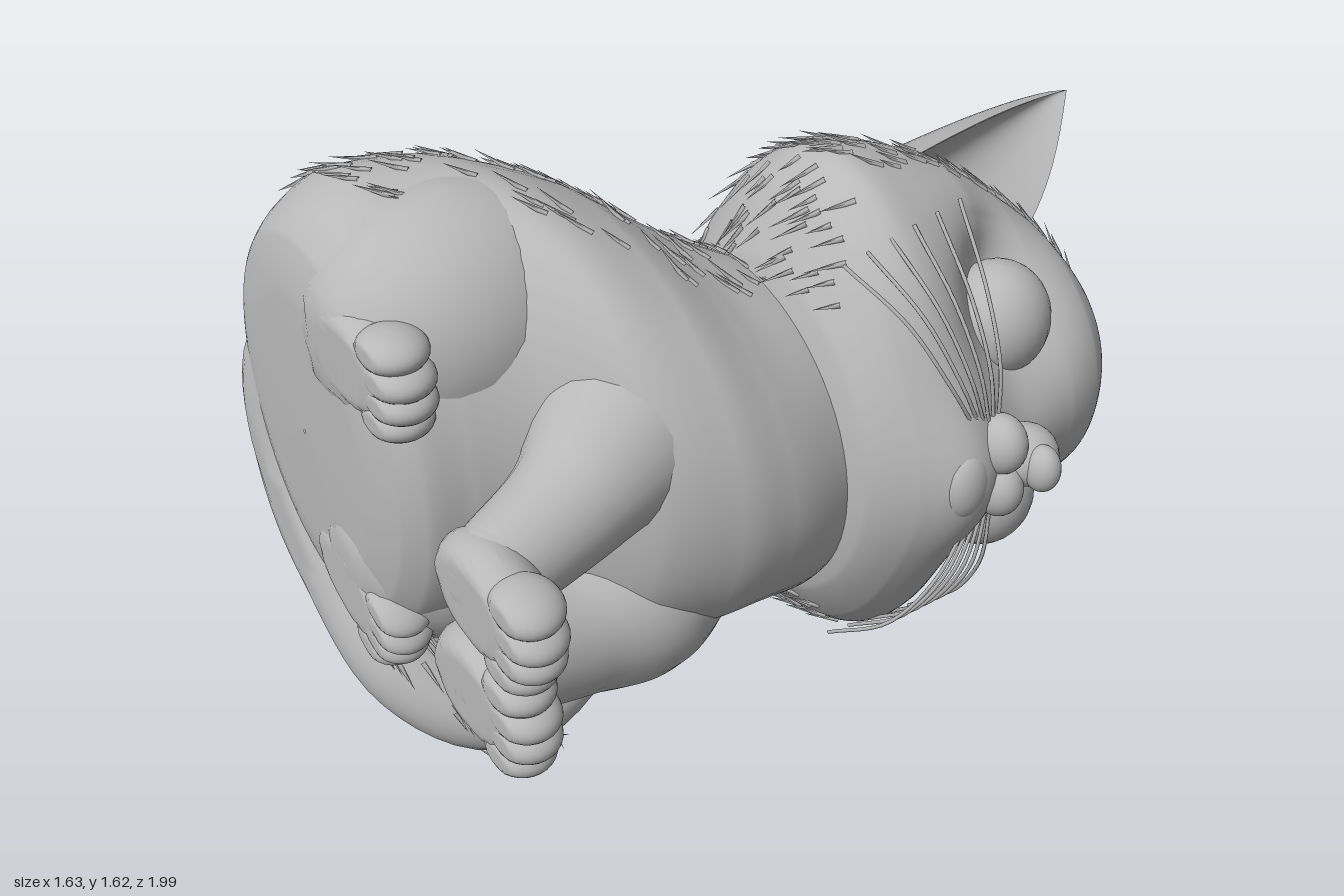
import * as THREE from 'three';
import { mergeGeometries } from 'three/addons/utils/BufferGeometryUtils.js';
import { ParametricGeometry } from 'three/addons/geometries/ParametricGeometry.js';

// The kitten lies on its side: its head points to -z, its face to +x, its soles to +z.
const FLOOR = 0.985, MID = 0.915;
const V = (x, y, z) => new THREE.Vector3(x, y, z);

let seed = 7;
const rnd = () => (seed = (seed * 16807) % 2147483647) / 2147483647;

// Smooth surface through elliptical rings [z, cx, cy, rx, ry]
function ringSurface(rings, warp) {
  const mid = new THREE.CatmullRomCurve3(rings.map(r => V(r[1], r[2], r[0])));
  const rad = new THREE.CatmullRomCurve3(rings.map(r => V(r[3], r[4], 0)));
  return (u, v, p) => {
    const c = mid.getPoint(v), r = rad.getPoint(v), a = u * Math.PI * 2;
    p.set(c.x + r.x * Math.cos(a), c.y + r.y * Math.sin(a), Math.min(c.z, FLOOR));
    if (warp) warp(p);
  };
}

// Tapered surface along a smooth path
function limbSurface(points, radii) {
  const curve = new THREE.CatmullRomCurve3(points.map(p => V(...p)));
  const rad = new THREE.CatmullRomCurve3(radii.map((r, i) => V(r, i, 0)));
  const frames = curve.computeFrenetFrames(200);
  return (u, v, p) => {
    const k = Math.min(200, Math.round(v * 200)), a = u * Math.PI * 2, r = rad.getPoint(v).x;
    p.copy(curve.getPointAt(v)).addScaledVector(frames.normals[k], r * Math.cos(a))
      .addScaledVector(frames.binormals[k], r * Math.sin(a));
    p.z = Math.min(p.z, FLOOR);
  };
}

// Ellipsoid, flattened where it would pass through the sole plane
function ball(c, r, turn = 0) {
  const g = new THREE.SphereGeometry(1, 28, 20).scale(...r).rotateZ(turn).translate(...c);
  const p = g.attributes.position;
  for (let i = 0; i < p.count; i++) p.setZ(i, Math.min(p.getZ(i), FLOOR));
  g.computeVertexNormals();
  return g;
}

// Limb with rounded ends
function limb(points, radii) {
  const cap = i => ball(points.at(i), Array(3).fill(radii.at(i)));
  return mergeGeometries([new ParametricGeometry(limbSurface(points, radii), 24, 40), cap(0), cap(-1)]);
}

// Paw with four toes, heading given as an angle in the sole plane
function paw(x, y, angle, len, wid) {
  const at = (f, s, z) => [x + f * Math.cos(angle) - s * Math.sin(angle), y + f * Math.sin(angle) + s * Math.cos(angle), z];
  const parts = [ball([x, y, 0.92], [len, wid, 0.1], angle)];
  [-1.5, -0.5, 0.5, 1.5].forEach(k => {
    const f = len * 0.72 - Math.abs(k) * 0.022 + 0.02;
    parts.push(ball(at(f, k * wid * 0.47, 0.92), [0.085, wid * 0.38, 0.078], angle));
  });
  return mergeGeometries(parts);
}

// Fine fur locks lying along a surface
function fur(surface, count, flow, keep) {
  const locks = [], a = V(), b = V(), c = V(), up = V(0, 1, 0);
  for (let i = 0; i < count * 8 && locks.length < count; i++) {
    const u = rnd() * 0.98, v = 0.04 + rnd() * 0.9;
    surface(u, v, a); surface(u + 0.005, v, b); surface(u, v + 0.005, c);
    const n = b.sub(a).cross(c.sub(a)).normalize();
    if (!keep(a, n)) continue;
    const d = flow.clone().addScaledVector(n, -flow.dot(n)).normalize();
    d.addScaledVector(n, 0.08 + rnd() * 0.17).normalize();
    const h = 0.06 + rnd() * 0.05;
    const g = new THREE.ConeGeometry(0.008, h, 4, 1, true).translate(0, h * 0.4, 0);
    g.applyQuaternion(new THREE.Quaternion().setFromUnitVectors(up, d));
    locks.push(g.translate(a.x, a.y, a.z));
  }
  return mergeGeometries(locks);
}

export function createModel() {
  const model = new THREE.Group();
  const grey = new THREE.MeshStandardMaterial({ color: 0xb8b8b8, side: THREE.DoubleSide });
  grey.name = 'plain grey';
  const add = (name, g) => {
    const m = new THREE.Mesh(g, grey);
    m.name = name;
    model.add(m);
  };

  // Torso, from the neck down to the softly domed seat
  const torso = ringSurface([
    [-0.1, 0.15, 0.9, 0.34, 0.36], [0.05, 0.1, 0.88, 0.44, 0.44], [0.2, -0.01, 0.91, 0.58, 0.49],
    [0.35, -0.07, 0.95, 0.625, 0.56], [0.5, -0.12, 0.99, 0.6, 0.59], [0.65, -0.24, 1, 0.5, 0.6],
    [0.8, -0.29, 1, 0.47, 0.59], [0.9, -0.29, 1, 0.43, 0.54], [0.95, -0.3, 1, 0.38, 0.48],
    [0.975, -0.3, 1, 0.28, 0.37], [0.985, -0.3, 1, 0.005, 0.005]]);
  add('torso', new ParametricGeometry(torso, 64, 56));

  // Head with a raised muzzle and hollows that open sideways around the eyes
  const eyes = [V(0.49, 1.165, -0.45), V(0.49, 0.66, -0.46)];
  const head = ringSurface([
    [-0.84, 0.34, MID, 0.005, 0.005], [-0.82, 0.33, MID, 0.14, 0.16], [-0.77, 0.3, MID, 0.26, 0.28], [-0.69, 0.265, MID, 0.355, 0.385],
    [-0.58, 0.23, MID, 0.42, 0.48], [-0.45, 0.215, MID, 0.45, 0.57], [-0.3, 0.2, MID, 0.45, 0.63],
    [-0.17, 0.2, MID, 0.45, 0.66], [-0.06, 0.2, MID, 0.43, 0.59], [0.03, 0.2, 0.9, 0.37, 0.44], [0.08, 0.2, 0.9, 0.2, 0.25]],
  p => {
    if (p.x < 0.2) return;
    const front = Math.min(1, (p.x - 0.2) / 0.25);
    for (const e of eyes) {
      const out = Math.sign(e.y - MID) * (p.y - e.y) - 0.07;
      p.x -= 0.16 * front * Math.exp(-(out ** 2) / 0.03 - (p.z - e.z) ** 2 / 0.022);
    }
    p.x += 0.09 * front * Math.exp(-((p.y - MID) ** 2) / 0.05 - (p.z + 0.19) ** 2 / 0.022);
  });
  add('head', new ParametricGeometry(head, 96, 72));
  eyes.forEach(e => add('eye', ball([e.x - 0.01, e.y, e.z], [0.13, 0.145, 0.135])));

  // Nose, lips and chin
  add('nose', mergeGeometries([
    ball([0.765, 0.93, -0.35], [0.048, 0.06, 0.042]), ball([0.7, 0.93, -0.36], [0.08, 0.075, 0.08])]));
  for (const s of [-1, 1]) add('lip', ball([0.7, 0.935 + s * 0.06, -0.275], [0.068, 0.075, 0.058]));
  add('chin', ball([0.7, 0.925, -0.17], [0.045, 0.09, 0.06]));

  // Ears: a bulging back and a shallower inner cup, joined along the rim
  const ear = (A, B, T, s) => mergeGeometries([0.32, 0.2].map(bulge => new ParametricGeometry((u, v, p) => {
    p.lerpVectors(A, B, u).lerp(T, v);
    p.x -= bulge * Math.sin(Math.PI * u) * (1 - v) ** 0.75;
    p.x += 0.04 * Math.sin(Math.PI * v);
    p.y += s * 0.05 * u * Math.sin(Math.PI * v);
  }, 20, 16)));
  add('leftEar', ear(V(0.24, 1.1, -0.72), V(0.22, 1.48, -0.29), V(0.19, 1.52, -0.94), 1));
  add('rightEar', ear(V(0.24, 0.73, -0.73), V(0.22, 0.35, -0.33), V(0.19, 0.4, -1), -1));

  // Haunches and hind feet
  add('leftHaunch', ball([-0.13, 1.3, 0.65], [0.3, 0.3, 0.36]));
  add('rightHaunch', ball([-0.18, 0.69, 0.65], [0.3, 0.3, 0.35]));
  add('leftHindFoot', paw(-0.05, 1.31, -0.05, 0.2, 0.12));
  add('rightHindFoot', paw(-0.19, 0.61, -0.5, 0.19, 0.11));

  // Front legs and paws
  add('leftFrontLeg', limb([[0.14, 1.08, 0.28], [0.25, 1.11, 0.45], [0.34, 1.03, 0.67], [0.39, 0.98, 0.88]], [0.22, 0.22, 0.145, 0.115]));
  add('rightFrontLeg', limb([[0.14, 0.68, 0.28], [0.24, 0.61, 0.45], [0.31, 0.63, 0.67], [0.36, 0.69, 0.88]], [0.22, 0.205, 0.14, 0.115]));
  add('leftFrontPaw', paw(0.44, 0.96, -0.22, 0.18, 0.125));
  add('rightFrontPaw', paw(0.39, 0.685, -0.08, 0.18, 0.13));

  // Tail wrapping round one side with a lifted tip
  const tailPath = [[-0.55, 1.2, 0.8], [-0.66, 0.94, 0.84], [-0.6, 0.68, 0.85], [-0.43, 0.46, 0.85],
    [-0.23, 0.26, 0.83], [-0.1, 0.14, 0.71], [-0.06, 0.115, 0.57], [-0.065, 0.165, 0.43]];
  const tailRadii = [0.1, 0.13, 0.14, 0.145, 0.135, 0.12, 0.105, 0.085];
  add('tail', limb(tailPath, tailRadii));

  // Whiskers fanning over both cheeks
  const whiskers = [];
  for (const s of [-1, 1]) {
    for (let i = 0; i < 6; i++) {
      const k = i / 5;
      const path = new THREE.CatmullRomCurve3([V(0.68, MID + s * 0.13, -0.28 + k * 0.07), V(0.67, MID + s * 0.27, -0.28 + k * 0.15),
        V(0.59, MID + s * 0.42, -0.3 + k * 0.24), V(0.44, MID + s * (0.58 - k * 0.06), -0.34 + k * 0.34)]);
      whiskers.push(new THREE.TubeGeometry(path, 16, 0.005, 5));
    }
  }
  add('whiskers', mergeGeometries(whiskers));

  // Fur on back and flanks, head sides, and tail
  add('bodyFur', fur(torso, 400, V(-0.7, 0, 0.6), (p, n) => n.x < 0.35 && n.z < 0.3 && p.z < 0.85));
  add('cheekFur', fur(head, 330, V(-0.3, 0, 0.8),
    (p, n) => n.x < 0.35 && n.x > -0.75 && p.z < 0.02 && Math.abs(p.y - MID) > 0.15));
  add('tailFur', fur(limbSurface(tailPath, tailRadii), 120, V(0.7, -0.7, -0.15), (p, n) => p.z < 0.95 && n.z < 0.6));

  return model;
}
